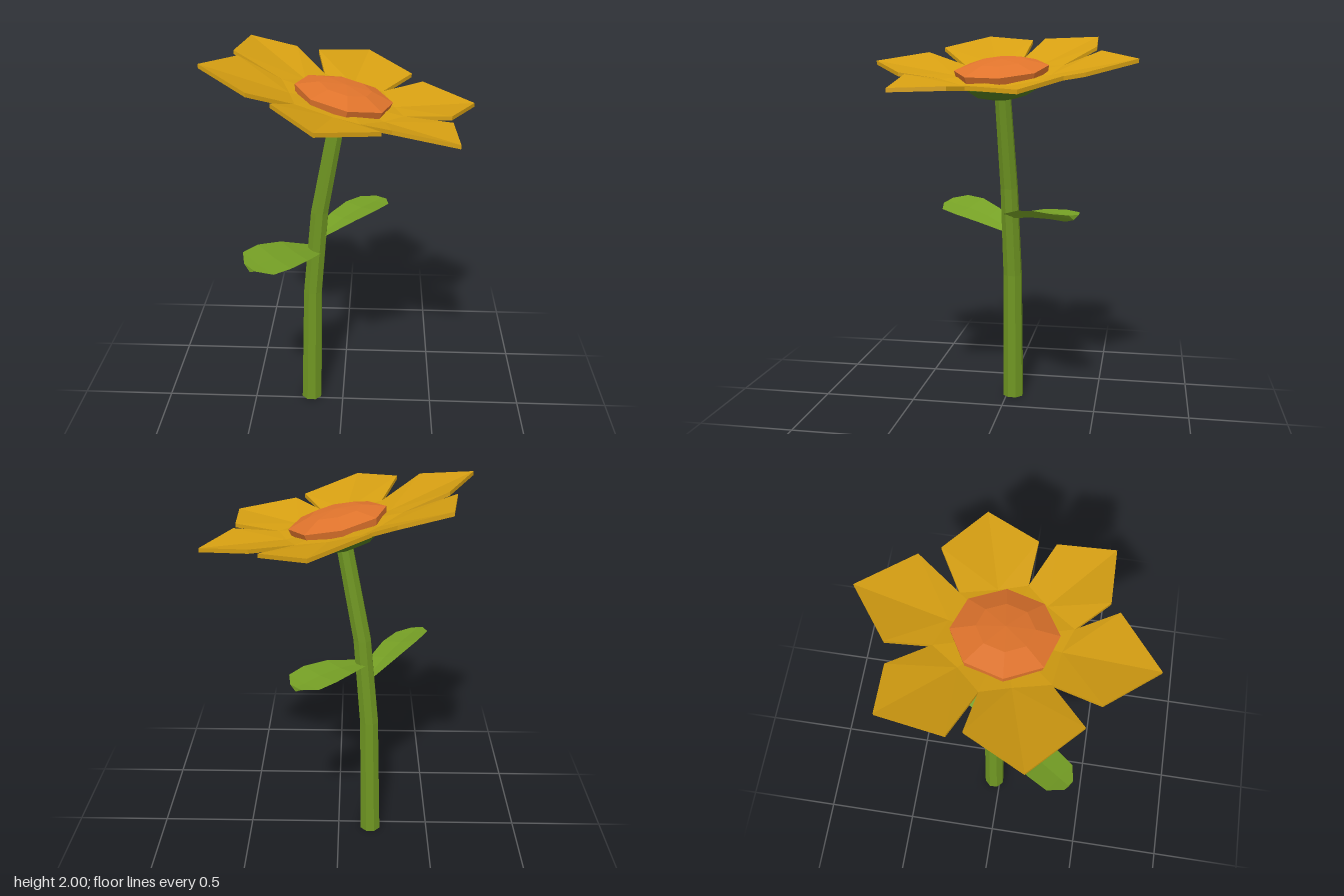
import * as THREE from 'three';

const V = (x, y, z) => new THREE.Vector3(x, y, z);
const material = color => new THREE.MeshStandardMaterial({ color, flatShading: true });
const STEM = material(0x6f9622), LEAF = material(0x76a025), CALYX = material(0x527c20);
const PETAL = material(0xd69f12), DISC = material(0xe0742c);

// Mesh from a list of corner points, three per triangle
function triangleMesh(name, corners, mat) {
  const geometry = new THREE.BufferGeometry().setFromPoints(corners);
  geometry.computeVertexNormals();
  const mesh = new THREE.Mesh(geometry, mat);
  mesh.name = name;
  return mesh;
}

// Closed skin over rings that run counter-clockwise about the direction of travel
function loft(name, rings, mat) {
  const out = [], n = rings[0].length, last = rings[rings.length - 1];
  for (let i = 0; i < rings.length - 1; i++) {
    for (let j = 0; j < n; j++) {
      const k = (j + 1) % n, a = rings[i], b = rings[i + 1];
      out.push(a[j], a[k], b[k], a[j], b[k], b[j]);
    }
  }
  for (let j = 1; j < n - 1; j++) {
    out.push(last[0], last[j], last[j + 1], rings[0][0], rings[0][j + 1], rings[0][j]);
  }
  return triangleMesh(name, out, mat);
}

// Bent, tapering eight-sided stem: x, y, z, radius
function makeStem() {
  const path = [
    [-0.18, 0, -0.035, 0.058], [-0.163, 0.7, -0.033, 0.052],
    [-0.12, 1.18, -0.02, 0.048], [-0.025, 1.69, 0, 0.043],
  ];
  const rings = path.map(([x, y, z, r]) => Array.from({ length: 8 }, (_, i) => {
    const a = (i + 0.5) * Math.PI / 4;
    return V(x + r * Math.cos(a), y, z - r * Math.sin(a));
  }));
  return loft('stem', rings, STEM);
}

// Paddle-shaped leaf with a folded top and a keel beneath
function makeLeaf(name, base, tip, roll) {
  const side = V(tip.z - base.z, 0, base.x - tip.x).normalize();
  side.y = -roll;
  const stations = [[0, 0.04], [0.35, 0.09], [0.65, 0.11], [0.88, 0.1], [1, 0.035]];
  const rings = stations.map(([t, w]) => {
    const c = base.clone().lerp(tip, t);
    c.y += 0.025 * Math.sin(Math.PI * t);
    return [
      c.clone().addScaledVector(side, w),
      c.clone().add(V(0, -0.08 * w, 0)),
      c.clone().addScaledVector(side, -w),
      c.clone().add(V(0, -0.015 - 0.28 * w, 0)),
    ];
  });
  return loft(name, rings, LEAF);
}

// Tilted plane of the flower head
const CENTER_Y = 1.78, SLOPE_X = 0.222, SLOPE_Z = 0.036;
const onHead = ([x, z], h) => V(x, CENTER_Y - SLOPE_X * x - SLOPE_Z * z + h, z);

// Plan outline (x, z) of each petal: notch, shoulder, tip, shoulder; the next notch closes it
const PETALS = [
  [[-0.105, -0.3], [-0.15, -0.495], [0.115, -0.69], [0.345, -0.45]],
  [[0.195, -0.235], [0.4, -0.355], [0.655, -0.18], [0.525, 0.08]],
  [[0.295, 0.065], [0.525, 0.165], [0.54, 0.445], [0.235, 0.445]],
  [[0.093, 0.3], [0.19, 0.49], [-0.09, 0.69], [-0.295, 0.455]],
  [[-0.21, 0.235], [-0.41, 0.395], [-0.655, 0.18], [-0.515, -0.09]],
  [[-0.3, -0.065], [-0.545, -0.155], [-0.5, -0.455], [-0.26, -0.465]],
];

// Thin cupped petal, creased from its root to its tip
function makePetal(outline, nextNotch) {
  const plan = [...outline, nextNotch];
  const heights = [0.012, 0.072, 0.078, 0.072, 0.012];
  const rim = plan.map((p, i) => onHead(p, heights[i]));
  const center = onHead([0, 0], 0);
  const [tx, tz] = plan[2], s = 0.26 / Math.hypot(tx, tz);
  const root = onHead([tx * s, tz * s], 0);
  const low = p => p.clone().add(V(0, -0.02, 0));
  const out = [];
  const slab = (a, b, c) => out.push(a, b, c, low(a), low(c), low(b));
  slab(center, root, rim[0]);
  slab(center, rim[4], root);
  for (let i = 0; i < 4; i++) {
    const a = rim[i], b = rim[i + 1];
    slab(root, b, a);
    out.push(a, b, low(b), a, low(b), low(a));
  }
  return triangleMesh('petal', out, PETAL);
}

// Eight-sided turned part set square to the head
function turned(name, profile, mat) {
  const points = profile.map(([r, y]) => new THREE.Vector2(r, y));
  const mesh = new THREE.Mesh(new THREE.LatheGeometry(points, 8, 0.11), mat);
  mesh.name = name;
  mesh.position.y = CENTER_Y;
  mesh.quaternion.setFromUnitVectors(V(0, 1, 0), V(SLOPE_X, 1, SLOPE_Z).normalize());
  return mesh;
}

export function createModel() {
  const flower = new THREE.Group();
  flower.name = 'flower';
  flower.add(makeStem());
  flower.add(makeLeaf('rightLeaf', V(-0.14, 0.955, -0.03), V(-0.433, 1.06, 0.39), 0.3));
  flower.add(makeLeaf('leftLeaf', V(-0.12, 1.045, -0.02), V(0.2, 1.1, -0.395), 0.06));

  const head = new THREE.Group();
  head.name = 'flowerHead';
  PETALS.forEach((outline, i) => head.add(makePetal(outline, PETALS[(i + 1) % 6][0])));
  // Domed disc above the petals, bowl beneath them
  head.add(turned('disc', [[0.235, 0], [0.243, 0.035], [0.13, 0.07], [0, 0.08]], DISC));
  head.add(turned('calyx',
    [[0, -0.115], [0.08, -0.115], [0.17, -0.085], [0.235, -0.035], [0.235, -0.005]], CALYX));
  flower.add(head);
  return flower;
}
